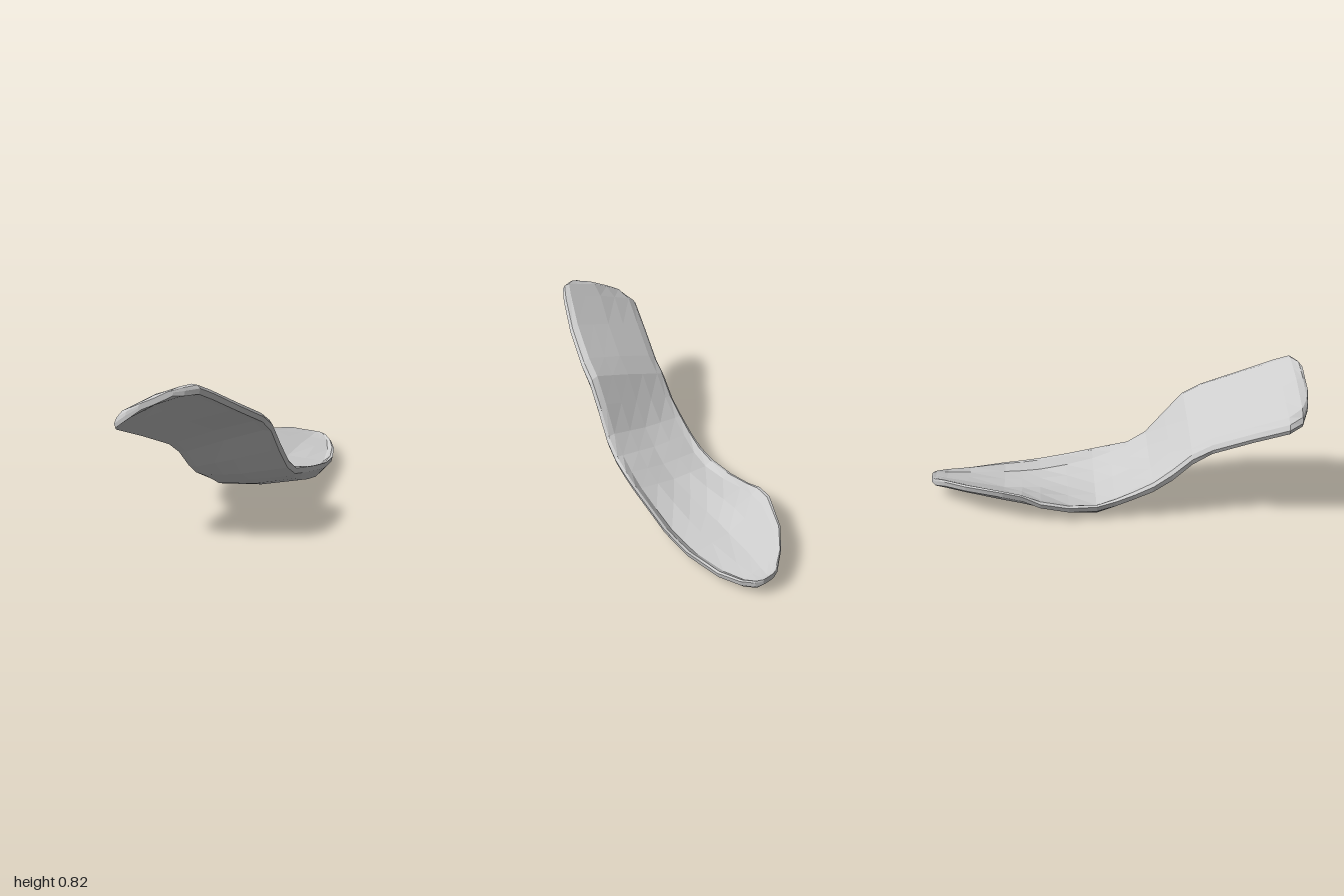
import * as THREE from 'three';

// Footprint from front to back: z, left rim x, right rim x
const outline = [
  [0.99, -0.2, -0.03], [0.975, -0.27, 0.02], [0.94, -0.34, 0.08], [0.87, -0.37, 0.12],
  [0.7, -0.315, 0.19], [0.5, -0.25, 0.25], [0.4, -0.235, 0.265], [0.3, -0.22, 0.28],
  [0.2, -0.215, 0.3], [0.1, -0.205, 0.315], [0, -0.2, 0.33], [-0.1, -0.205, 0.34],
  [-0.25, -0.21, 0.35], [-0.4, -0.21, 0.362], [-0.5, -0.2, 0.362], [-0.6, -0.18, 0.36],
  [-0.8, -0.08, 0.325], [-0.92, 0.02, 0.28], [-0.98, 0.09, 0.235], [-1, 0.13, 0.2],
];

// Height of the sheet's middle layer at these fractions across each section
const knots = [0, 0.1, 0.5, 0.9, 1];
const heights = [
  [0.7, 0.715, 0.745, 0.78, 0.785], [0.655, 0.68, 0.745, 0.79, 0.79],
  [0.605, 0.65, 0.74, 0.797, 0.797], [0.58, 0.61, 0.695, 0.762, 0.76],
  [0.51, 0.535, 0.61, 0.677, 0.668], [0.42, 0.445, 0.52, 0.583, 0.572],
  [0.36, 0.375, 0.45, 0.518, 0.508], [0.265, 0.27, 0.325, 0.39, 0.385],
  [0.195, 0.19, 0.215, 0.262, 0.265], [0.145, 0.135, 0.15, 0.188, 0.203],
  [0.105, 0.08, 0.098, 0.145, 0.182], [0.08, 0.045, 0.06, 0.105, 0.158],
  [0.08, 0.055, 0.045, 0.065, 0.125], [0.11, 0.09, 0.043, 0.035, 0.095],
  [0.155, 0.115, 0.043, 0.028, 0.083], [0.17, 0.13, 0.043, 0.026, 0.075],
  [0.16, 0.135, 0.068, 0.04, 0.068], [0.14, 0.122, 0.08, 0.06, 0.08],
  [0.11, 0.105, 0.088, 0.08, 0.09], [0.105, 0.104, 0.1, 0.098, 0.1],
];

// Section loop: fraction across the width, offset from the middle layer
const loop = [
  [0, 0.006], [0.03, 0.02], [0.1, 0.023], [0.3, 0.023], [0.5, 0.023], [0.7, 0.023],
  [0.9, 0.023], [0.97, 0.02], [1, 0.006],
  [0.985, -0.018], [0.9, -0.023], [0.7, -0.023], [0.5, -0.023], [0.3, -0.023],
  [0.1, -0.023], [0.015, -0.018],
];

function heightAt(row, u) {
  const k = Math.max(0, knots.findIndex((knot) => knot >= u) - 1);
  return THREE.MathUtils.mapLinear(u, knots[k], knots[k + 1], row[k], row[k + 1]);
}

// Vertical stretch that keeps the sheet equally thick where it slopes
function slopeFactor(i) {
  const a = Math.max(0, i - 1), b = Math.min(outline.length - 1, i + 1);
  return Math.hypot(1, (heights[a][2] - heights[b][2]) / (outline[a][0] - outline[b][0]));
}

function sheetGeometry() {
  const positions = [], index = [], n = loop.length, last = outline.length - 1;
  outline.forEach(([z, left, right], i) => {
    const thickness = slopeFactor(i) * (i === 0 || i === last ? 0.65 : 1); // rounded tips
    for (const [u, offset] of loop) {
      const y = heightAt(heights[i], u) + offset * thickness;
      positions.push(THREE.MathUtils.lerp(left, right, u), y, z);
    }
  });
  // Skin between neighbouring sections
  for (let i = 0; i < last; i++) {
    for (let j = 0; j < n; j++) {
      const a = i * n + j, b = i * n + (j + 1) % n;
      index.push(a, b, b + n, a, b + n, a + n);
    }
  }
  // End caps, bridged between upper and lower points
  const s = last * n;
  for (let j = 0; j < n / 2; j++) {
    const a = j, b = j + 1, c = n - 1 - j, d = (n - j) % n;
    if (b !== c) index.push(d, c, b, s + d, s + b, s + c);
    if (a !== d) index.push(d, b, a, s + d, s + a, s + b);
  }
  const geometry = new THREE.BufferGeometry();
  geometry.setAttribute('position', new THREE.Float32BufferAttribute(positions, 3));
  geometry.setIndex(index);
  const faceted = geometry.toNonIndexed();
  faceted.computeVertexNormals();
  return faceted;
}

export function createModel() {
  const group = new THREE.Group();
  group.name = 'curvedSheet';
  const paleGrey = new THREE.MeshStandardMaterial({ color: 0xcccccc });
  paleGrey.name = 'paleGrey';
  const sheet = new THREE.Mesh(sheetGeometry(), paleGrey);
  sheet.name = 'sheet';
  group.add(sheet);
  return group;
}
